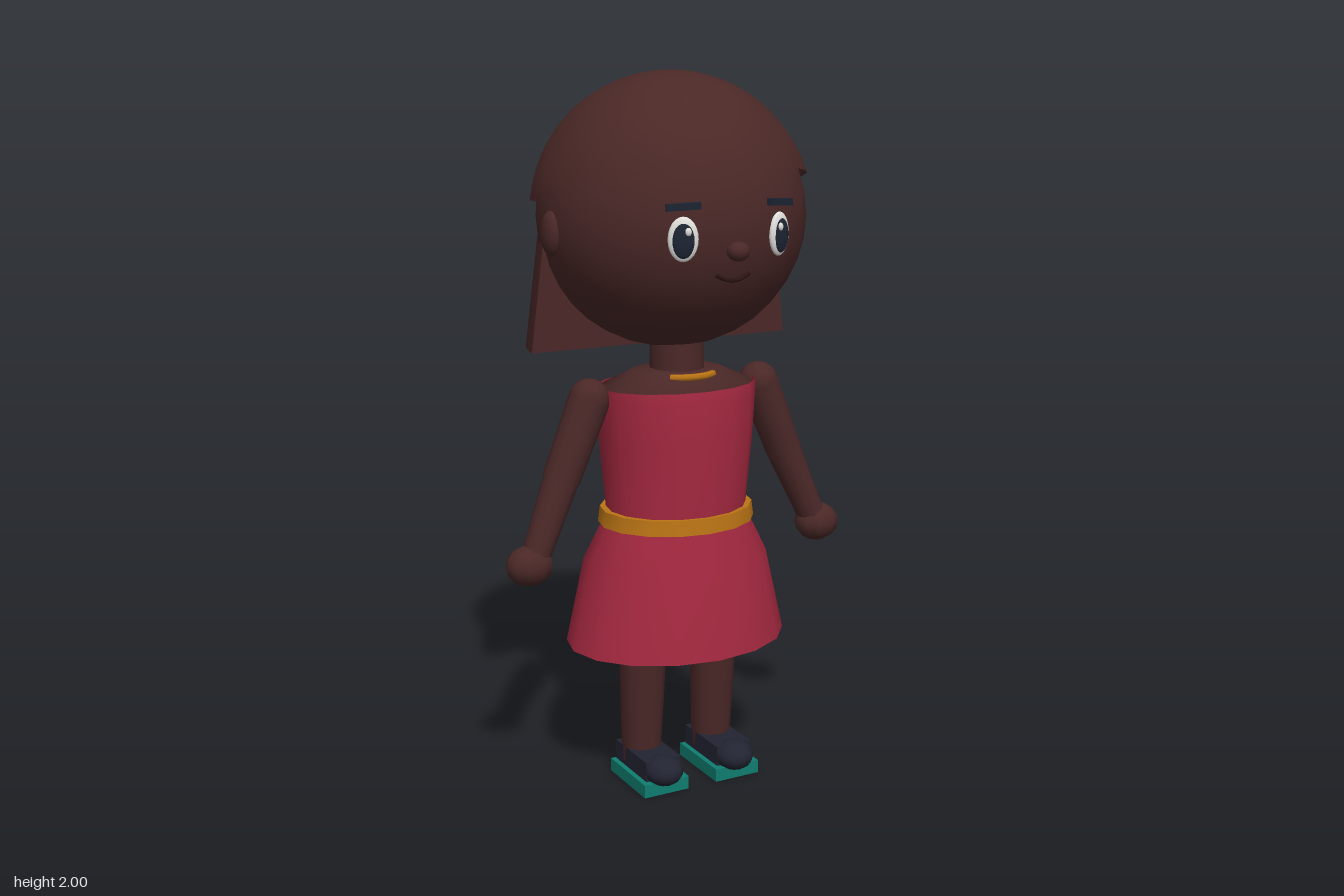
import * as THREE from 'three';
import { mergeVertices, toCreasedNormals } from 'three/addons/utils/BufferGeometryUtils.js';

const flat = (name, color, side = THREE.FrontSide) => {
  const m = new THREE.MeshStandardMaterial({ color, side });
  m.name = name;
  return m;
};

// Skin of oval rings, listed from top to bottom as [y, radiusX, radiusZ, centreZ]
function loft(rings, sides = 16) {
  const g = new THREE.CylinderGeometry(1, 1, 1, sides, rings.length - 1, true);
  const p = g.attributes.position;
  for (let i = 0; i < p.count; i++) {
    const [y, rx, rz, cz] = rings[Math.floor(i / (sides + 1))];
    p.setXYZ(i, p.getX(i) * rx, y, p.getZ(i) * rz + cz);
  }
  g.deleteAttribute('uv');
  g.deleteAttribute('normal');
  const merged = mergeVertices(g, 1e-4);
  merged.computeVertexNormals();
  return merged;
}

export function createModel() {
  const skin = flat('skin', 0x4a2827);
  const hair = flat('hair', 0x4a2826, THREE.DoubleSide);
  const dress = flat('dress red', 0xa3283f, THREE.DoubleSide);
  const gold = flat('gold', 0xba7415);
  const teal = flat('sole teal', 0x0f7d6f);
  const navy = flat('shoe navy', 0x222432);
  const white = flat('eye white', 0xe2e0dc);
  const iris = flat('iris', 0x1d2533);
  const brown = flat('mouth brown', 0x2c1413);

  const model = new THREE.Group();
  model.name = 'girl';
  const add = (name, geometry, material, x = 0, y = 0, z = 0, parent = model) => {
    const m = new THREE.Mesh(geometry, material);
    m.name = name;
    m.position.set(x, y, z);
    parent.add(m);
    return m;
  };
  const ball = (name, material, pos, size, parent, w = 16, h = 12) => {
    const m = add(name, new THREE.SphereGeometry(1, w, h), material, ...pos, parent);
    m.scale.set(...size);
    return m;
  };
  // Tapered limb between two points
  const limb = (name, material, a, b, ra, rb, parent) => {
    const from = new THREE.Vector3(...a), to = new THREE.Vector3(...b);
    const dir = to.clone().sub(from);
    const m = add(name, new THREE.CylinderGeometry(rb, ra, dir.length(), 12), material,
      ...from.clone().add(to).multiplyScalar(0.5).toArray(), parent);
    m.quaternion.setFromUnitVectors(new THREE.Vector3(0, 1, 0), dir.normalize());
    return m;
  };

  // Head and neck
  ball('head', skin, [0, 1.61, 0], [0.375, 0.36, 0.36], model, 24, 18);
  add('neck', new THREE.CylinderGeometry(0.075, 0.078, 0.16, 14), skin, 0, 1.24, 0.035);
  ball('nose', skin, [0, 1.548, 0.365], [0.032, 0.026, 0.028], model, 10, 8);
  const smile = new THREE.QuadraticBezierCurve3(
    new THREE.Vector3(-0.05, 1.487, 0.335),
    new THREE.Vector3(0, 1.455, 0.35),
    new THREE.Vector3(0.05, 1.487, 0.335));
  add('mouth', new THREE.TubeGeometry(smile, 10, 0.006, 6), brown);

  // Hair cap tipped backwards
  const cap = add('hairCap', new THREE.SphereGeometry(0.39, 24, 12, 0, Math.PI * 2, 0, 1.37), hair, 0, 1.61, 0);
  cap.rotation.x = -0.2;

  // Long back hair: a D-shaped slab that flares downwards
  const outline = new THREE.Shape();
  outline.absarc(0, 0, 0.403, 0.125, Math.PI - 0.125, false);
  outline.closePath();
  let slab = new THREE.ExtrudeGeometry(outline, { depth: 0.53, bevelEnabled: false, curveSegments: 10 });
  slab.rotateX(-Math.PI / 2);
  const p = slab.attributes.position;
  for (let i = 0; i < p.count; i++) {
    const s = 1 - 0.16 * p.getY(i) / 0.53;
    p.setXYZ(i, p.getX(i) * s, p.getY(i), p.getZ(i) * s);
  }
  slab = toCreasedNormals(slab, 0.6);
  add('backHair', slab, hair, 0, 1.25, 0);

  // Chest, dress, belt and necklace
  add('chest', loft([[1.196, 0.05, 0.05, 0.035], [1.19, 0.13, 0.095, 0.03],
    [1.145, 0.23, 0.165, 0.03], [1.05, 0.215, 0.16, 0.03]]), skin);
  add('dress', loft([[1.15, 0.235, 0.17, 0.033], [1.12, 0.234, 0.176, 0.033], [1.0, 0.225, 0.183, 0.032],
    [0.79, 0.203, 0.178, 0.032], [0.75, 0.22, 0.182, 0.03], [0.65, 0.272, 0.215, 0.028],
    [0.41, 0.325, 0.258, 0.03]]), dress);
  const belt = loft([[0.80, 0.19, 0.16, 0.032], [0.80, 0.222, 0.19, 0.032],
    [0.757, 0.228, 0.195, 0.032], [0.757, 0.19, 0.16, 0.032]]);
  add('belt', toCreasedNormals(belt, 0.7), gold);
  const necklace = add('necklace', new THREE.TorusGeometry(0.11, 0.01, 6, 10, 1.3), gold, 0, 1.182, 0.035);
  necklace.rotation.set(Math.PI / 2, 0, Math.PI / 2 - 0.65);

  for (const s of [1, -1]) {
    const side = s > 0 ? 'left' : 'right';

    // Eye, turned to follow the face
    const eye = new THREE.Group();
    eye.name = side + 'Eye';
    eye.position.set(s * 0.143, 1.583, 0.331);
    eye.rotation.y = s * 0.4;
    model.add(eye);
    ball('eyeWhite', white, [0, 0, 0], [0.04, 0.058, 0.014], eye);
    ball('iris', iris, [0, -0.003, 0.007], [0.03, 0.046, 0.01], eye);
    ball('glint', white, [-s * 0.012, 0.02, 0.014], [0.009, 0.011, 0.006], eye, 8, 6);
    const brow = add('brow', new THREE.BoxGeometry(0.09, 0.018, 0.02), iris, 0, 0.083, 0.002, eye);
    brow.rotation.z = -s * 0.06;

    ball(side + 'Ear', skin, [s * 0.37, 1.58, 0.02], [0.024, 0.06, 0.042], model, 12, 10);

    // Arm
    const arm = new THREE.Group();
    arm.name = side + 'Arm';
    model.add(arm);
    const shoulder = [s * 0.268, 1.125, 0.03], elbow = [s * 0.358, 0.91, 0.034], wrist = [s * 0.445, 0.71, 0.052];
    ball('shoulder', skin, shoulder, [0.058, 0.058, 0.058], arm, 12, 10);
    limb('upperArm', skin, shoulder, elbow, 0.058, 0.052, arm);
    limb('forearm', skin, elbow, wrist, 0.05, 0.04, arm);
    ball('hand', skin, [s * 0.463, 0.688, 0.052], [0.068, 0.056, 0.057], arm, 10, 8);

    // Leg
    const leg = new THREE.Group();
    leg.name = side + 'Leg';
    model.add(leg);
    const x = s * 0.115;
    limb('thigh', skin, [x, 0.35, 0.044], [x, 0.72, 0.035], 0.07, 0.075, leg);
    limb('shin', skin, [x, 0.05, 0.033], [x, 0.355, 0.044], 0.056, 0.067, leg);

    // Shoe
    const shoe = new THREE.Group();
    shoe.name = side + 'Shoe';
    model.add(shoe);
    add('sole', new THREE.BoxGeometry(0.14, 0.038, 0.215), teal, x, 0.019, 0.084, shoe);
    add('upper', new THREE.BoxGeometry(0.11, 0.058, 0.19), navy, x, 0.066, 0.076, shoe);
    ball('toe', navy, [x, 0.063, 0.17], [0.056, 0.042, 0.06], shoe, 12, 10);
  }
  return model;
}
